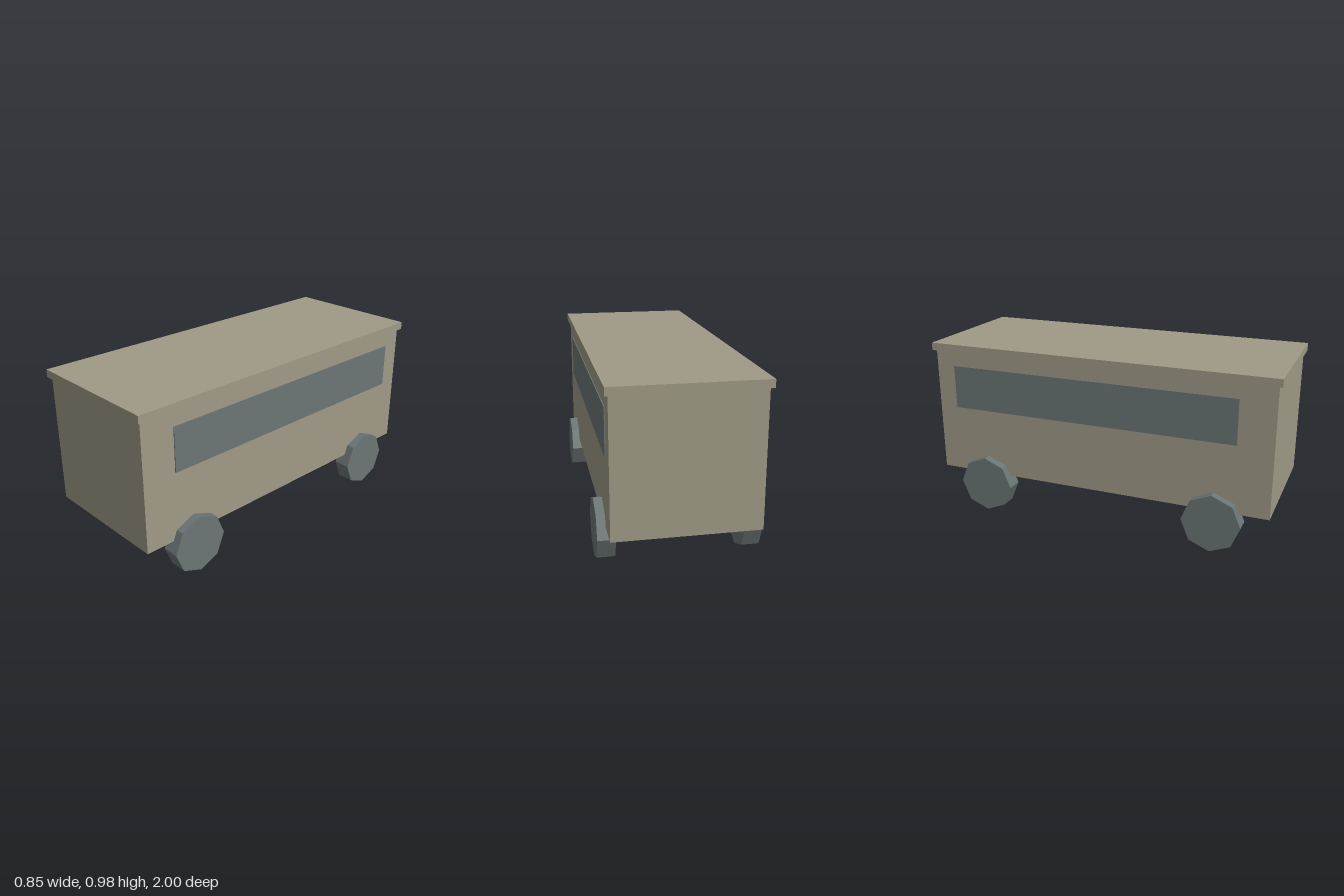
import * as THREE from 'three';

export function createModel() {
  const group = new THREE.Group();
  const paint = new THREE.MeshStandardMaterial({ color: 0x9f9a86 });
  paint.name = 'tan paint';
  const dark = new THREE.MeshStandardMaterial({ color: 0x6b7575 });
  dark.name = 'slate grey';

  function add(name, geometry, material, x, y, z) {
    const mesh = new THREE.Mesh(geometry, material);
    mesh.name = name;
    mesh.position.set(x, y, z);
    group.add(mesh);
  }

  // Box body with a slightly overhanging roof
  add('body', new THREE.BoxGeometry(0.755, 0.72, 1.964), paint, 0, 0.58, 0);
  add('roof', new THREE.BoxGeometry(0.79, 0.043, 2), paint, 0, 0.9605, 0);

  // Octagonal wheel, axis along x, with a corner pointing straight down
  const radius = 0.1625;
  const wheel = new THREE.CylinderGeometry(radius, radius, 0.094, 8).toNonIndexed();
  wheel.rotateZ(Math.PI / 2);
  wheel.computeVertexNormals();

  // Long window strip, set slightly toward the back
  const glass = new THREE.BoxGeometry(0.008, 0.248, 1.66);

  for (const [side, s] of [['left', 1], ['right', -1]]) {
    add(side + 'Window', glass, dark, s * 0.3785, 0.73, -0.04);
    add(side + 'FrontWheel', wheel, dark, s * 0.3765, radius, 0.68);
    add(side + 'BackWheel', wheel, dark, s * 0.3765, radius, -0.68);
  }
  return group;
}
